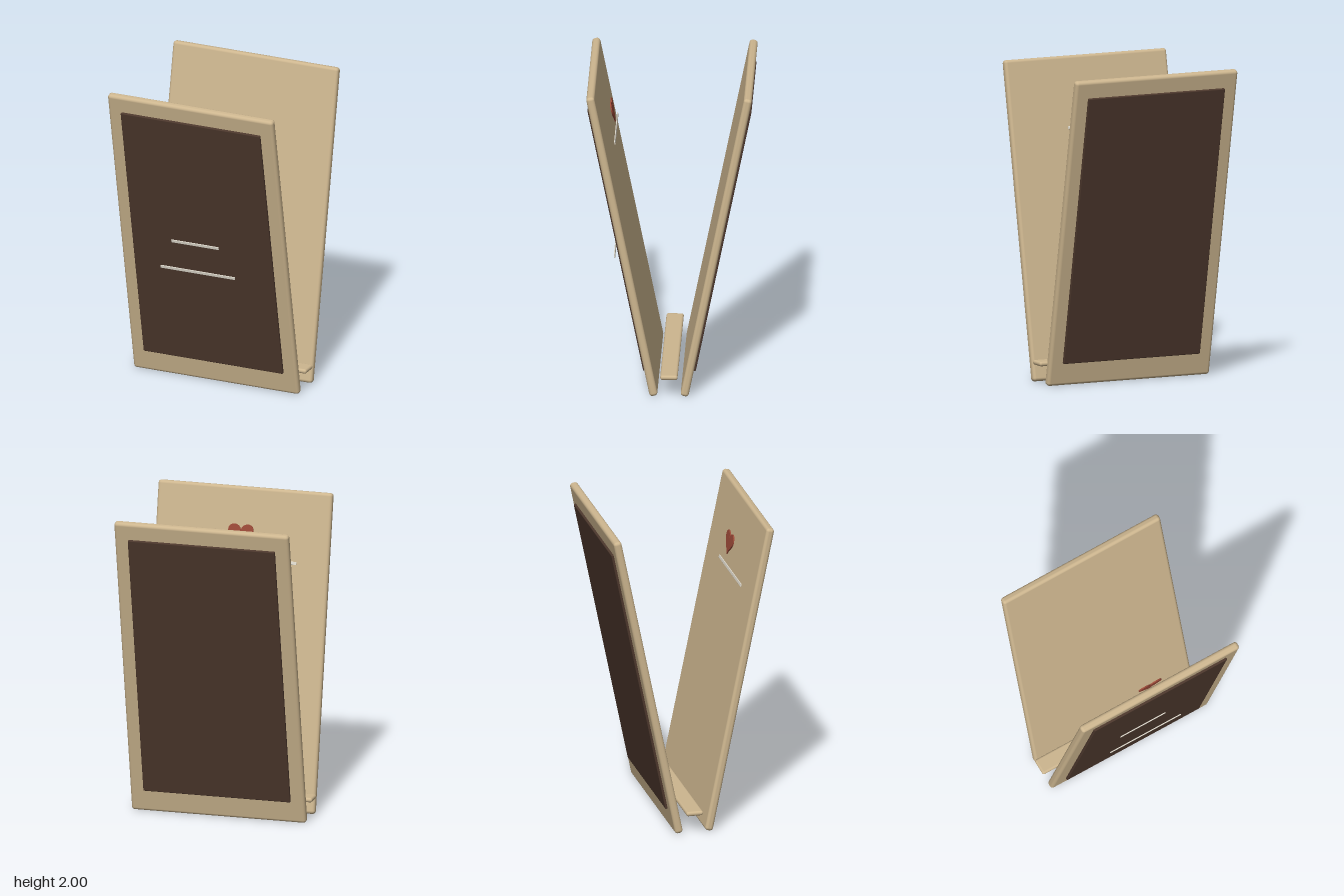
import * as THREE from 'three';
import { RoundedBoxGeometry } from 'three/addons/geometries/RoundedBoxGeometry.js';

const LEAN = 0.2;
const mat = (color) => new THREE.MeshStandardMaterial({ color });

export function createModel() {
  const model = new THREE.Group();
  const wood = mat(0xcdb68f), slate = mat(0x4d382d), chalk = mat(0xe2ddd0), red = mat(0x9c4a38);

  const box = (name, parent, [w, h, d], [x, y, z], radius, material) => {
    const mesh = new THREE.Mesh(new RoundedBoxGeometry(w, h, d, 3, radius), material);
    mesh.name = name;
    mesh.position.set(x, y, z);
    parent.add(mesh);
    return mesh;
  };

  // Two outward-leaning panels, each with a writing surface on its outer face
  for (const [name, turn] of [['frontPanel', 0], ['backPanel', Math.PI]]) {
    const side = new THREE.Group();
    side.name = name;
    side.rotation.y = turn;
    const leaf = new THREE.Group();
    leaf.name = name + 'Leaf';
    leaf.position.set(0, 1, 0.298);
    leaf.rotation.x = LEAN;
    box(name + 'Frame', leaf, [1.146, 2.036, 0.052], [0, 0, 0], 0.02, wood);
    box(name + 'Chalkboard', leaf, [0.966, 1.776, 0.026], [0, 0.02, 0.028], 0.006, slate);
    side.add(leaf);
    model.add(side);
  }

  // Spreader bar between the panels
  box('spreaderBar', model, [1.186, 0.03, 0.11], [0, 0.133, 0], 0.0145, wood);

  // Chalk strokes: left end, right end, height
  for (const [x0, x1, y] of [[-0.203, 0.125, 1.004], [-0.277, 0.238, 0.819], [-0.372, 0.186, 1.56]]) {
    const stroke = box('chalkLine', model, [x1 - x0, 0.02, 0.006], [(x0 + x1) / 2, y, 0.355], 0.002, chalk);
    stroke.rotation.x = LEAN;
  }

  // Heart, drawn from its lower tip
  const shape = new THREE.Shape();
  shape.moveTo(0, 0);
  shape.bezierCurveTo(-0.015, 0.035, -0.083, 0.06, -0.083, 0.105);
  shape.bezierCurveTo(-0.083, 0.155, -0.015, 0.16, 0, 0.11);
  shape.bezierCurveTo(0.015, 0.16, 0.083, 0.155, 0.083, 0.105);
  shape.bezierCurveTo(0.083, 0.06, 0.015, 0.035, 0, 0);
  const heart = new THREE.Mesh(
    new THREE.ExtrudeGeometry(shape, { depth: 0.008, bevelEnabled: false, curveSegments: 10 }), red);
  heart.name = 'heart';
  heart.position.set(0, 1.64, 0.354);
  heart.rotation.x = LEAN;
  model.add(heart);

  return model;
}
